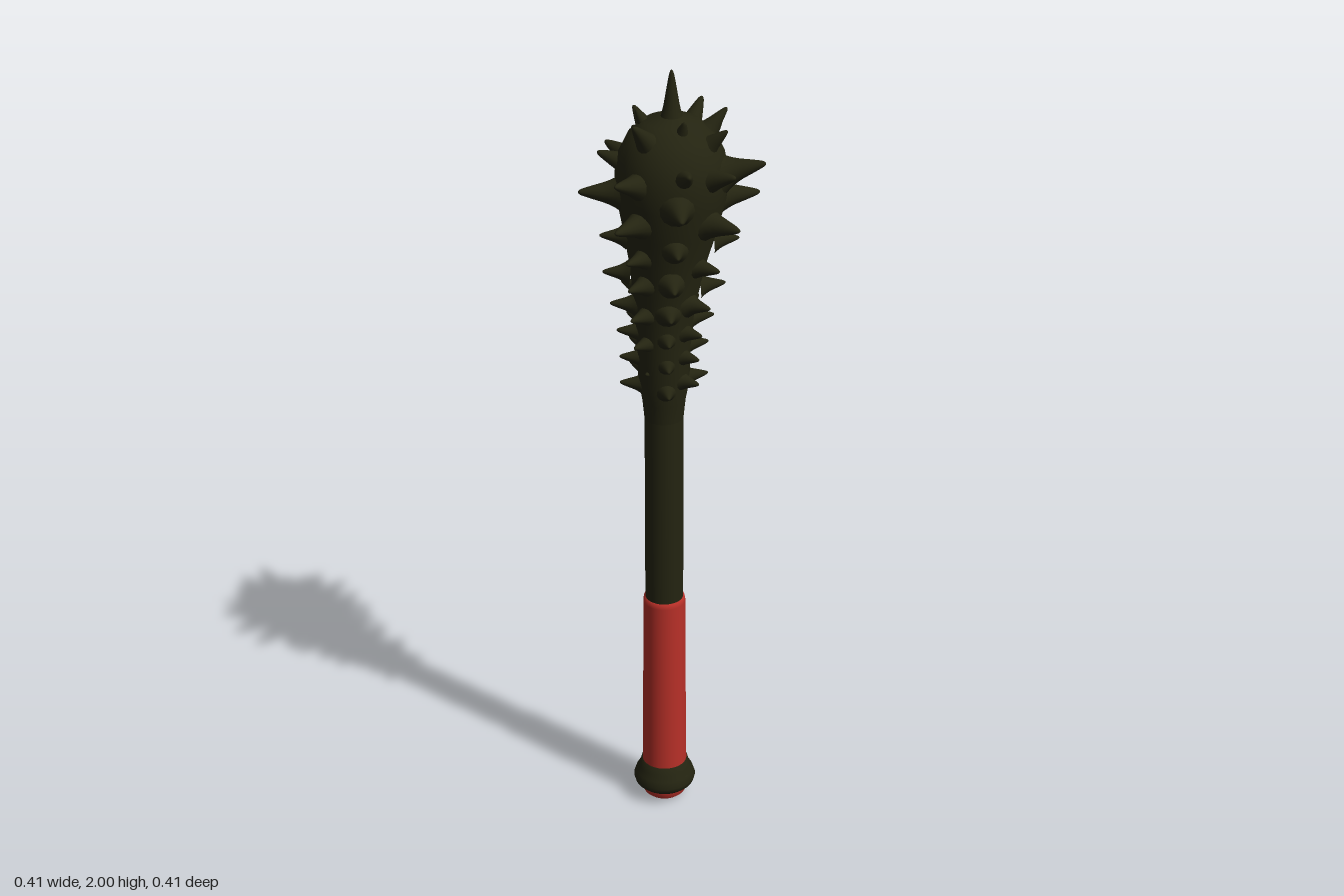
import * as THREE from 'three';

const dark = new THREE.MeshStandardMaterial({ color: 0x242411 });
dark.name = 'dark olive iron';
const red = new THREE.MeshStandardMaterial({ color: 0xb83028 });
red.name = 'red grip';

// The club leans slightly: z offset of its centre line at a given height
const axisZ = (y) => 0.03 * (1 - THREE.MathUtils.smoothstep(y, 1.35, 1.7));

// Core radius of the spiked head, as height / radius pairs
const headProfile = [
  [0.048, 1.12], [0.053, 1.17], [0.062, 1.22], [0.066, 1.32], [0.074, 1.42],
  [0.09, 1.52], [0.112, 1.61], [0.13, 1.69], [0.134, 1.75], [0.125, 1.8],
  [0.103, 1.845], [0.065, 1.878], [0, 1.895],
];

function turned(name, profile, material) {
  const points = profile.map(([r, y]) => new THREE.Vector2(r, y));
  const geometry = new THREE.LatheGeometry(points, 32);
  const pos = geometry.attributes.position;
  for (let i = 0; i < pos.count; i++) pos.setZ(i, pos.getZ(i) + axisZ(pos.getY(i)));
  const mesh = new THREE.Mesh(geometry, material);
  mesh.name = name;
  return mesh;
}

// Unit spike: flared root at y = 0, rounded tip at y = 1
const spikeGeometry = new THREE.LatheGeometry(
  new THREE.SplineCurve([
    [1.45, -0.2], [1.05, 0.02], [0.74, 0.28], [0.5, 0.58], [0.26, 0.87], [0.12, 0.975], [0, 1],
  ].map(([r, y]) => new THREE.Vector2(r, y))).getPoints(14).map((p) => new THREE.Vector2(Math.max(p.x, 0), p.y)), 14);

function spike(x, y, z, length, radius) {
  const tip = new THREE.Vector3(x, y, z);
  const rootY = y > 1.72 ? 1.7 + (y - 1.7) * 0.25 : y - 0.012;
  const direction = tip.clone().sub(new THREE.Vector3(0, rootY, axisZ(y))).normalize();
  const mesh = new THREE.Mesh(spikeGeometry, dark);
  mesh.name = 'spike';
  mesh.scale.set(radius, length, radius);
  mesh.quaternion.setFromUnitVectors(new THREE.Vector3(0, 1, 0), direction);
  mesh.position.copy(tip).addScaledVector(direction, -length);
  return mesh;
}

export function createModel() {
  const club = new THREE.Group();
  club.name = 'spikedClub';

  // Handle
  club.add(
    turned('endCap', [[0, 0], [0.045, 0.003], [0.055, 0.012], [0.058, 0.03], [0.058, 0.05]], red),
    turned('pommel', [
      [0.05, 0.028], [0.065, 0.032], [0.077, 0.043], [0.081, 0.057],
      [0.075, 0.075], [0.066, 0.09], [0.061, 0.108], [0.053, 0.11],
    ], dark),
    turned('grip', [[0.058, 0.09], [0.057, 0.2], [0.055, 0.4], [0.054, 0.595], [0.052, 0.607], [0.045, 0.61]], red),
    turned('shaft', [[0.048, 0.59], [0.049, 0.8], [0.048, 1], [0.048, 1.14]], dark),
    turned('headCore', headProfile, dark),
  );

  // Spikes
  const spikes = new THREE.Group();
  spikes.name = 'spikes';
  club.add(spikes);
  spikes.add(spike(0, 2, 0, 0.12, 0.026));

  // Front and back rows: [height, z of tip]
  const centreRows = [
    [1.9, 0.14], [1.775, 0.207], [1.66, 0.207], [1.57, 0.167], [1.5, 0.162],
    [1.42, 0.153], [1.345, 0.142], [1.26, 0.1],
    [1.905, -0.115], [1.825, -0.19], [1.72, -0.207], [1.63, -0.185],
    [1.5, -0.128], [1.4, -0.105], [1.28, -0.083],
  ];
  for (const [y, z] of centreRows) {
    const big = y > 1.6;
    spikes.add(spike(0, y, z, big ? 0.09 : 0.06, big ? 0.033 : 0.024));
  }

  // Mirrored spikes on the bulb and along the sides: [x, height, z]
  const pairs = [
    [0.072, 1.9, 0.042], [0.085, 1.9, -0.1], [0.14, 1.875, -0.03], [0.137, 1.8, 0.107],
    [0.2, 1.79, -0.1], [0.195, 1.785, 0.01], [0.155, 1.71, 0.157], [0.145, 1.69, -0.153],
    [0.206, 1.655, 0.005], [0.152, 1.54, 0.01],
  ];
  for (const [x, y, z] of pairs) {
    const size = y > 1.85 ? [0.07, 0.026] : y > 1.6 ? [0.09, 0.034] : [0.07, 0.027];
    for (const side of [1, -1]) spikes.add(spike(side * x, y, z, ...size));
  }

  // Small spikes in staggered columns down the neck: angle, heights
  const columns = [
    [0, [1.445, 1.37, 1.305, 1.24]],
    [45, [1.6, 1.51, 1.43, 1.36, 1.29, 1.22]],
    [-45, [1.58, 1.47, 1.39, 1.32, 1.235]],
  ];
  for (const [degrees, heights] of columns) {
    const a = THREE.MathUtils.degToRad(degrees);
    for (const y of heights) {
      const reach = 0.108 + 0.06 * THREE.MathUtils.smoothstep(y, 1.3, 1.6);
      for (const side of [1, -1]) {
        spikes.add(spike(side * reach * Math.cos(a), y, axisZ(y) + reach * Math.sin(a), 0.053, 0.022));
      }
    }
  }
  return club;
}
